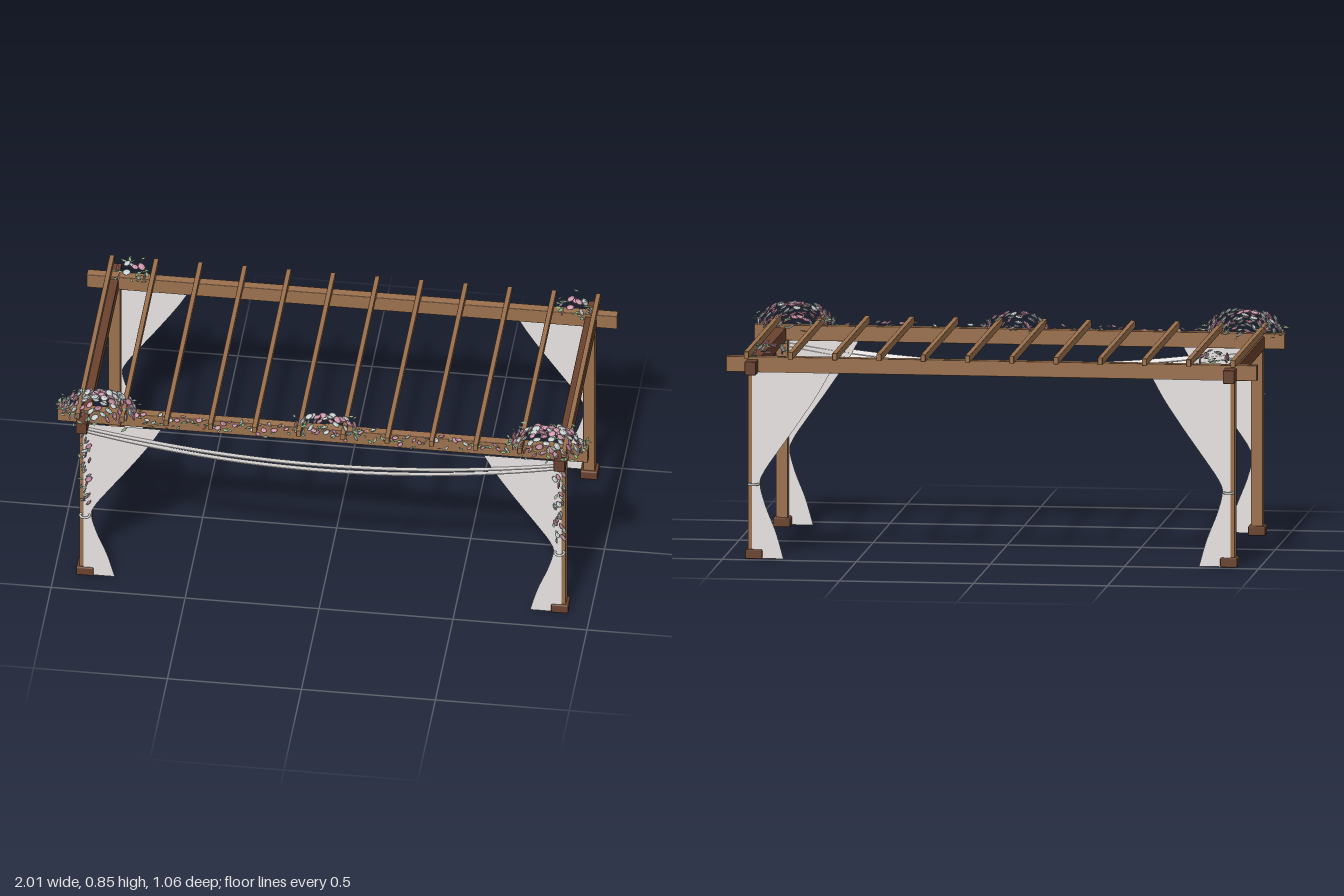
import * as THREE from 'three';
import { mergeGeometries } from 'three/addons/utils/BufferGeometryUtils.js';
import { RoundedBoxGeometry } from 'three/addons/geometries/RoundedBoxGeometry.js';

export function createModel() {
  const model = new THREE.Group();
  model.name = 'flowerPergola';

  const mat = (name, color, side = THREE.FrontSide) => {
    const m = new THREE.MeshStandardMaterial({ color, side });
    m.name = name;
    return m;
  };
  const wood = mat('wood', 0x9b714d);
  const darkWood = mat('darkWood', 0x6a422f);
  const fabric = mat('fabric', 0xe8e4e3, THREE.DoubleSide);
  const metal = mat('tieback', 0xcacaca);
  const pink = mat('pinkPetal', 0xd79db2);
  const mauve = mat('mauvePetal', 0xb88498);
  const white = mat('palePetal', 0xccd4d4);
  const green = mat('leaf', 0x8aa882);

  const add = (name, geometry, material, x = 0, y = 0, z = 0) => {
    const mesh = new THREE.Mesh(geometry, material);
    mesh.name = name;
    mesh.position.set(x, y, z);
    model.add(mesh);
    return mesh;
  };
  // Timber with softened edges
  const box = (name, material, w, h, d, x, y, z, r = 0.002) =>
    add(name, new RoundedBoxGeometry(w, h, d, 1, r), material, x, y, z);

  let seed = 7;
  const rand = (a = 0, b = 1) => {
    seed = (seed * 16807) % 2147483647;
    return a + (b - a) * seed / 2147483647;
  };

  const FRONT = 0.38, BACK = -0.447, POST_X = 0.886;

  // Posts and bases
  for (const x of [-POST_X, POST_X]) {
    for (const z of [FRONT, BACK]) {
      box('post', wood, 0.044, 0.7, 0.044, x, 0.35, z);
      box('postBase', darkWood, 0.064, 0.036, 0.064, x, 0.018, z, 0.005);
    }
    box('sideBeam', darkWood, 0.042, 0.05, 0.993, Math.sign(x) * 0.892, 0.719, -0.0325);
  }

  // Long beams and rafters
  for (const z of [FRONT, BACK]) box('longBeam', wood, 1.98, 0.058, 0.035, 0, 0.726, z);
  for (let i = 0; i < 12; i++) {
    box('rafter', wood, 0.018, 0.027, 0.983, (i - 5.5) * 0.165, 0.769, -0.0365);
  }

  // Gathered curtains with a tieback on each post
  const curtain = new THREE.Shape();
  curtain.moveTo(0.892, 0.7);
  curtain.lineTo(0.602, 0.7);
  curtain.splineThru([[0.65, 0.615], [0.72, 0.51], [0.805, 0.39], [0.848, 0.325], [0.862, 0.28],
    [0.842, 0.2], [0.803, 0.1], [0.775, 0.002]].map(p => new THREE.Vector2(...p)));
  curtain.lineTo(0.892, 0.002);
  curtain.closePath();
  const leftCurtain = new THREE.ShapeGeometry(curtain, 24);
  for (const side of [1, -1]) {
    for (const [z, ringZ] of [[0.406, 0.411], [-0.474, -0.479]]) {
      add('curtain', leftCurtain, fabric, 0, 0, z).scale.x = side;
      const ring = new THREE.TorusGeometry(0.0175, 0.0045, 8, 20).rotateX(Math.PI / 2);
      add('tieback', ring, metal, side * POST_X, 0.28, ringZ);
    }
  }

  // Two sagging ribbons of cloth across the front, tilted back towards the beam
  for (const [endY, sag] of [[0.688, 0.077], [0.675, 0.087]]) {
    const g = new THREE.BoxGeometry(1.77, 0.004, 0.032, 40, 1, 1);
    const p = g.attributes.position;
    for (let i = 0; i < p.count; i++) {
      const drop = 1 - (p.getX(i) / 0.885) ** 2;
      const z = p.getZ(i);
      p.setY(i, p.getY(i) + endY - sag * drop + 0.32 * z);
      p.setZ(i, z + 0.416 + 0.011 * drop);
    }
    g.computeVertexNormals();
    add('clothSwag', g, fabric);
  }

  // Rose with two rings of petals, facing up; leaf is a flat diamond
  const rose = new THREE.LatheGeometry([[0, -0.005], [0.011, -0.004], [0.0165, 0.001], [0.0125, 0.002],
    [0.0105, 0.0005], [0.008, 0.004], [0.0055, 0.0015], [0.003, 0.004], [0, 0.0045]]
    .map(p => new THREE.Vector2(...p)), 10);
  const leaf = new THREE.OctahedronGeometry(0.018).scale(0.42, 0.1, 1);

  const bins = new Map([[pink, []], [mauve, []], [white, []], [green, []]]);
  const dummy = new THREE.Object3D();
  const place = (geometry, material, x, y, z, rx, ry, rz, s) => {
    dummy.position.set(x, y, z);
    dummy.rotation.set(rx, ry, rz);
    dummy.scale.setScalar(s);
    dummy.updateMatrix();
    bins.get(material).push(geometry.clone().applyMatrix4(dummy.matrix));
  };
  // lean tips the rose from facing up towards +x (positive) or -x (negative)
  const addRose = (x, y, z, s, lean) => {
    const k = rand();
    place(rose, k < 0.38 ? pink : k < 0.54 ? mauve : white, x, y, z,
      rand(-0.3, 0.3), 0, -lean + rand(-0.3, 0.3), s);
  };
  const addLeaf = (x, y, z, s) =>
    place(leaf, green, x, y, z, rand(-0.3, 0.3), rand(0, 6.28), rand(-0.3, 0.3), s);

  // Domed bouquets: centre, radii, rose count, leaf count, leaf spread
  const bouquet = ([cx, cy, cz], [rx, ry, rz], roses, leaves, spread) => {
    for (let i = 0; i < roses; i++) {
      const up = (i + 0.5) / roses, a = i * 2.39996, r = Math.sqrt(1 - up * up), k = rand(0.88, 1);
      const nx = Math.cos(a) * r;
      addRose(cx + nx * rx * k, cy + up * ry * k, cz + Math.sin(a) * r * rz * k,
        rand(0.8, 1.05), Math.atan2(nx, up * 0.8 + 0.1));
    }
    for (let i = 0; i < leaves; i++) {
      const a = rand(0, 6.28), r = rand(0.7, spread);
      addLeaf(cx + Math.cos(a) * rx * Math.min(r, 1.05), cy + rand(-0.01, 0.04), cz + Math.sin(a) * rz * r,
        rand(0.65, 1.05));
    }
  };
  for (const s of [-1, 1]) {
    bouquet([s * 0.836, 0.752, 0.396], [0.147, 0.09, 0.066], 85, 40, 2);
    bouquet([s * 0.828, 0.762, -0.44], [0.06, 0.047, 0.045], 9, 18, 1.8);
  }
  bouquet([0.015, 0.755, 0.396], [0.12, 0.06, 0.045], 32, 24, 1.8);

  // Garland along the front beam
  for (let i = 0; i < 130; i++) {
    const x = -0.7 + 1.4 * (i + rand()) / 130;
    if (i % 2) addLeaf(x, rand(0.72, 0.765), rand(0.39, 0.432), rand(0.6, 1));
    else addRose(x, rand(0.73, 0.765), rand(0.385, 0.43), rand(0.55, 0.85), rand(-0.7, 0.7));
  }

  // Flowers trailing down the front posts
  for (const s of [-1, 1]) {
    for (let i = 0; i < 20; i++) {
      const y = 0.335 + 0.33 * (i + rand(0, 0.7)) / 20;
      addRose(s * (POST_X + rand(-0.018, 0.018)), y, rand(0.41, 0.43), rand(0.6, 0.95), s * rand(0.5, 1.3));
      if (i % 2) addLeaf(s * (POST_X + rand(-0.02, 0.02)), y, rand(0.41, 0.435), 0.8);
    }
  }

  const names = ['pinkRoses', 'mauveRoses', 'paleRoses', 'leaves'];
  [...bins].forEach(([material, parts], i) => add(names[i], mergeGeometries(parts), material));
  return model;
}
